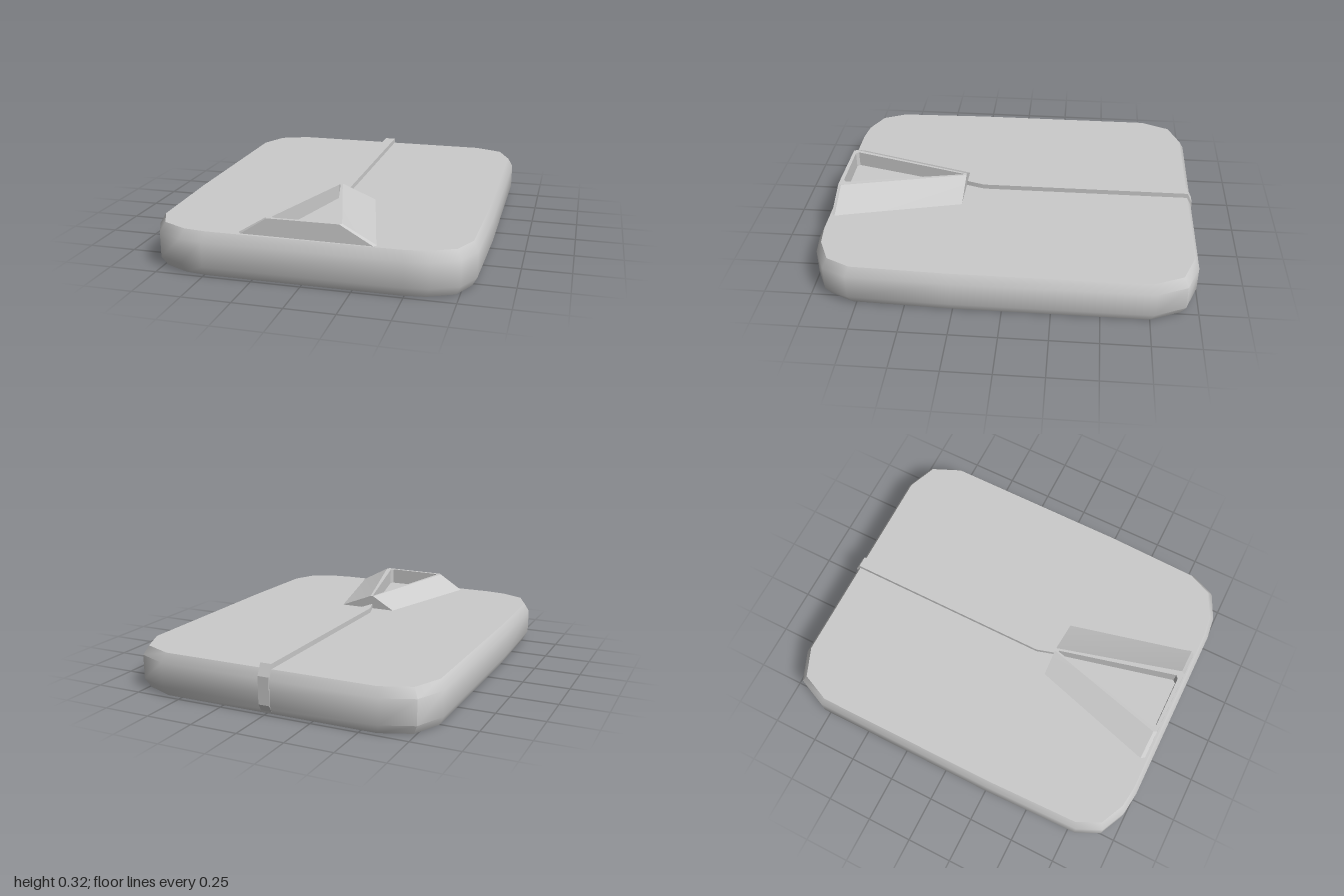
import * as THREE from 'three';
import { toCreasedNormals } from 'three/addons/utils/BufferGeometryUtils.js';

const material = new THREE.MeshStandardMaterial({ color: 0xcccccc });

// Skin a stack of equal-length loops, each { y, points: [[x, z], ...] }; caps optional.
function loft(loops, capped, crease) {
  const n = loops[0].points.length;
  const positions = [];
  const index = [];
  for (const { y, points } of loops) {
    points.forEach(([x, z], i) => positions.push(x, Array.isArray(y) ? y[i] : y, z));
  }
  for (let k = 0; k < loops.length - 1; k++) {
    for (let i = 0; i < n; i++) {
      const j = (i + 1) % n;
      const a = k * n + i, b = k * n + j, c = b + n, d = a + n;
      index.push(a, b, c, a, c, d);
    }
  }
  if (capped) {
    const top = (loops.length - 1) * n;
    for (let i = 1; i < n - 1; i++) {
      index.push(0, i + 1, i);
      index.push(top, top + i, top + i + 1);
    }
  }
  const geometry = new THREE.BufferGeometry();
  geometry.setAttribute('position', new THREE.Float32BufferAttribute(positions, 3));
  geometry.setIndex(index);
  return toCreasedNormals(geometry, crease);
}

function addMesh(group, name, geometry) {
  const mesh = new THREE.Mesh(geometry, material);
  mesh.name = name;
  group.add(mesh);
}

export function createModel() {
  const group = new THREE.Group();
  group.name = 'slab';

  // Rounded slab: half outline mirrored, with edges drawn in at top and bottom
  const half = [[-0.6, -0.995], [-0.76, -0.93], [-0.83, -0.77], [-0.83, 0.27],
    [-0.815, 0.79], [-0.755, 0.92], [-0.62, 0.985], [-0.5, 1]];
  const outline = [...half, ...half.map(([x, z]) => [-x, z]).reverse()];
  const bodyLoops = [[0, 0.025], [0.05, 0], [0.18, 0], [0.228, 0.025]].map(([y, inset]) => ({
    y,
    points: outline.map(([x, z]) => [x * (1 - inset / 0.83), z * (1 - inset)]),
  }));
  addMesh(group, 'body', loft(bodyLoops, true, 0.9));

  // Narrow pointed rib along the top, wrapping down the back edge
  const ribLoops = [[0.01, -0.975], [0.05, -1], [0.195, -1], [0.255, -0.972]].map(([y, back]) => ({
    y,
    points: [[-0.03, back], [-0.03, 0.17], [0, 0.27], [0.03, 0.17], [0.03, back]],
  }));
  addMesh(group, 'rib', loft(ribLoops, true, 0.3));

  // Hollow wedge: outer foot, rim, then inner wall down to the slab
  const opening = [[0, 0.29], [-0.16, 0.925], [-0.145, 0.94], [0.145, 0.94], [0.16, 0.925], [0.005, 0.29]];
  const rimHeights = [0.302, 0.315, 0.316, 0.319, 0.318, 0.302];
  const wedgeLoops = [
    { y: 0.222, points: [[-0.14, 0.27], [-0.335, 0.94], [-0.32, 0.96], [0.36, 0.968], [0.375, 0.95], [0.21, 0.275]] },
    { y: rimHeights, points: [[-0.005, 0.27], [-0.185, 0.94], [-0.175, 0.958], [0.185, 0.962], [0.195, 0.945], [0.012, 0.27]] },
    { y: rimHeights, points: opening },
    { y: 0.222, points: opening },
  ];
  addMesh(group, 'wedge', loft(wedgeLoops, false, 0.3));

  return group;
}
